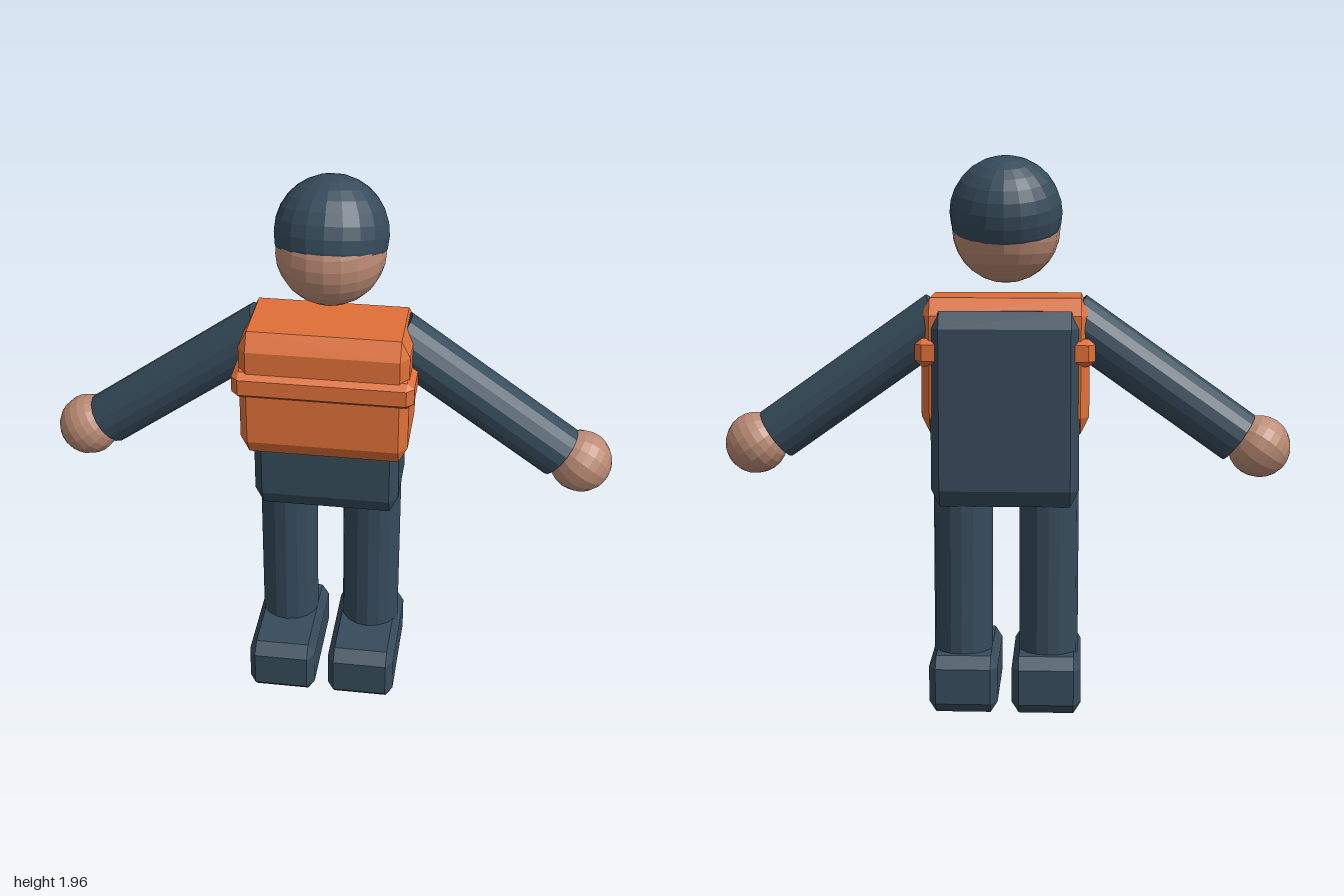
import * as THREE from 'three';
import { ConvexGeometry } from 'three/addons/geometries/ConvexGeometry.js';

const material = (color) => new THREE.MeshStandardMaterial({ color, flatShading: true });

// Box spanning two corners, with every edge cut by chamfer c = [cx, cy, cz]
function chamferBox(min, max, c) {
  const lo = new THREE.Vector3(...min), hi = new THREE.Vector3(...max);
  const mid = lo.clone().add(hi).multiplyScalar(0.5);
  const h = hi.clone().sub(lo).multiplyScalar(0.5).toArray();
  const points = [];
  for (const sx of [-1, 1]) for (const sy of [-1, 1]) for (const sz of [-1, 1]) {
    for (let face = 0; face < 3; face++) {
      const p = [sx, sy, sz].map((s, i) => s * (i === face ? h[i] : h[i] - c[i]));
      points.push(new THREE.Vector3(...p).add(mid));
    }
  }
  return new ConvexGeometry(points);
}

export function createModel() {
  const model = new THREE.Group();
  model.name = 'figure';
  const dark = material(0x364b5b);
  const orange = material(0xe07038);
  const skin = material(0xba8a74);

  const add = (name, geometry, mat, position = [0, 0, 0]) => {
    const mesh = new THREE.Mesh(geometry, mat);
    mesh.name = name;
    mesh.position.set(...position);
    model.add(mesh);
    return mesh;
  };

  // Head with a slightly larger cap sphere set up and back
  add('head', new THREE.SphereGeometry(0.188, 20, 14), skin, [0, 1.708, -0.038]);
  add('cap', new THREE.SphereGeometry(0.195, 20, 14), dark, [0, 1.763, -0.055]).rotation.x = -0.29;

  // Torso, padded vest and chest band
  add('torso', chamferBox([-0.258, 0.745, -0.18], [0.258, 1.43, 0.11], [0.03, 0.06, 0.035]), dark);
  add('vest', chamferBox([-0.292, 1.0, -0.15], [0.292, 1.473, 0.18], [0.03, 0.06, 0.04]), orange);
  add('chestBand', chamferBox([-0.312, 1.238, -0.165], [0.312, 1.335, 0.2], [0.025, 0.02, 0.025]), orange);

  for (const [side, s] of [['left', 1], ['right', -1]]) {
    // Sloping sleeve from shoulder to wrist
    const shoulder = new THREE.Vector3(s * 0.225, 1.4, -0.038);
    const wrist = new THREE.Vector3(s * 0.817, 0.981, -0.038);
    const axis = shoulder.clone().sub(wrist);
    const arm = add(side + 'Arm', new THREE.CylinderGeometry(0.096, 0.096, axis.length(), 16), dark,
      shoulder.clone().lerp(wrist, 0.5).toArray());
    arm.quaternion.setFromUnitVectors(new THREE.Vector3(0, 1, 0), axis.normalize());
    const hand = add(side + 'Hand', new THREE.SphereGeometry(0.11, 16, 12), skin, [s * 0.89, 0.949, -0.038]);
    hand.quaternion.copy(arm.quaternion);

    // Straight leg and blocky boot
    add(side + 'Leg', new THREE.CylinderGeometry(0.105, 0.105, 0.75, 16), dark, [s * 0.153, 0.475, -0.037]);
    add(side + 'Boot', chamferBox([-0.122, 0, -0.2], [0.122, 0.207, 0.253], [0.025, 0.04, 0.04]), dark,
      [s * 0.147, 0, 0]);
  }
  return model;
}
